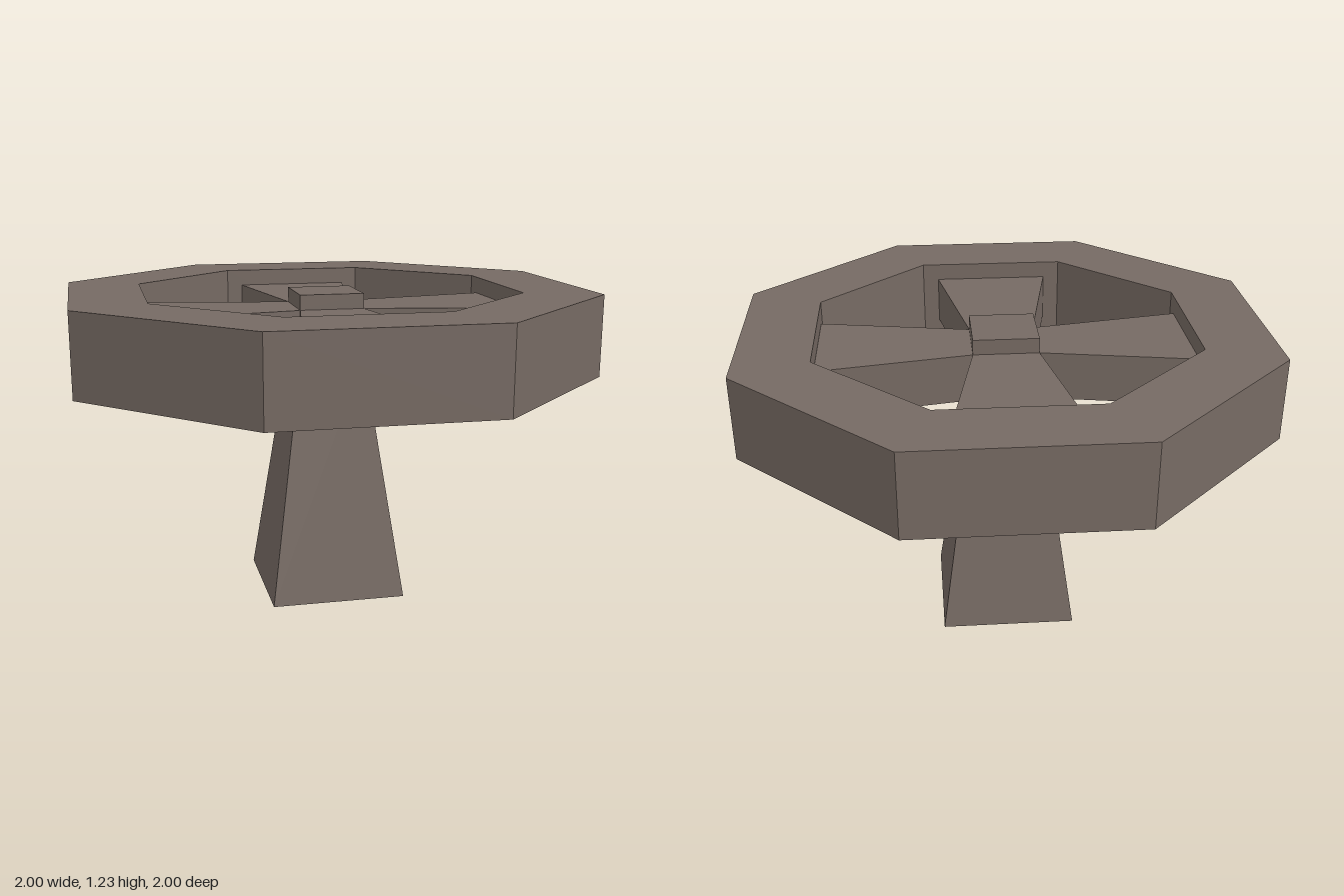
import * as THREE from 'three';

// Regular octagon outline with flat sides facing the axes
function octagon(apothem, Outline) {
  const r = apothem / Math.cos(Math.PI / 8);
  const points = [];
  for (let i = 0; i < 8; i++) {
    const a = Math.PI / 8 + (i * Math.PI) / 4;
    points.push(new THREE.Vector2(r * Math.cos(a), r * Math.sin(a)));
  }
  return new Outline(points);
}

// Horizontal slab of a plan shape between two heights
function slab(shape, bottom, top) {
  const geometry = new THREE.ExtrudeGeometry(shape, { depth: top - bottom, bevelEnabled: false });
  return geometry.rotateX(-Math.PI / 2).translate(0, bottom, 0);
}

export function createModel() {
  const group = new THREE.Group();
  const stone = new THREE.MeshStandardMaterial({ color: 0x766a63, flatShading: true });
  stone.name = 'stone';

  const add = (name, geometry) => {
    const mesh = new THREE.Mesh(geometry, stone);
    mesh.name = name;
    group.add(mesh);
  };

  // Octagonal ring
  const ring = octagon(1, THREE.Shape);
  ring.holes.push(octagon(0.718, THREE.Path));
  add('ring', slab(ring, 0.91, 1.23));

  // Four flared arms, drawn as one cross in plan
  const inner = 0.127, reach = 0.717, flare = 0.233;
  const outline = [];
  for (let i = 0; i < 4; i++) {
    for (const [x, y] of [[inner, -inner], [reach, -flare], [reach, flare]]) {
      outline.push(new THREE.Vector2(x, y).rotateAround(new THREE.Vector2(), (i * Math.PI) / 2));
    }
  }
  add('crossArms', slab(new THREE.Shape(outline), 0.974, 1.163));

  // Short square end above the arms
  add('topCap', new THREE.BoxGeometry(inner * 2, 0.059, inner * 2).translate(0, 1.1925, 0));

  // Tapered square stem
  const stem = new THREE.CylinderGeometry(inner * Math.SQRT2, 0.267 * Math.SQRT2, 0.974, 4);
  add('stem', stem.rotateY(Math.PI / 4).translate(0, 0.487, 0));

  return group;
}
